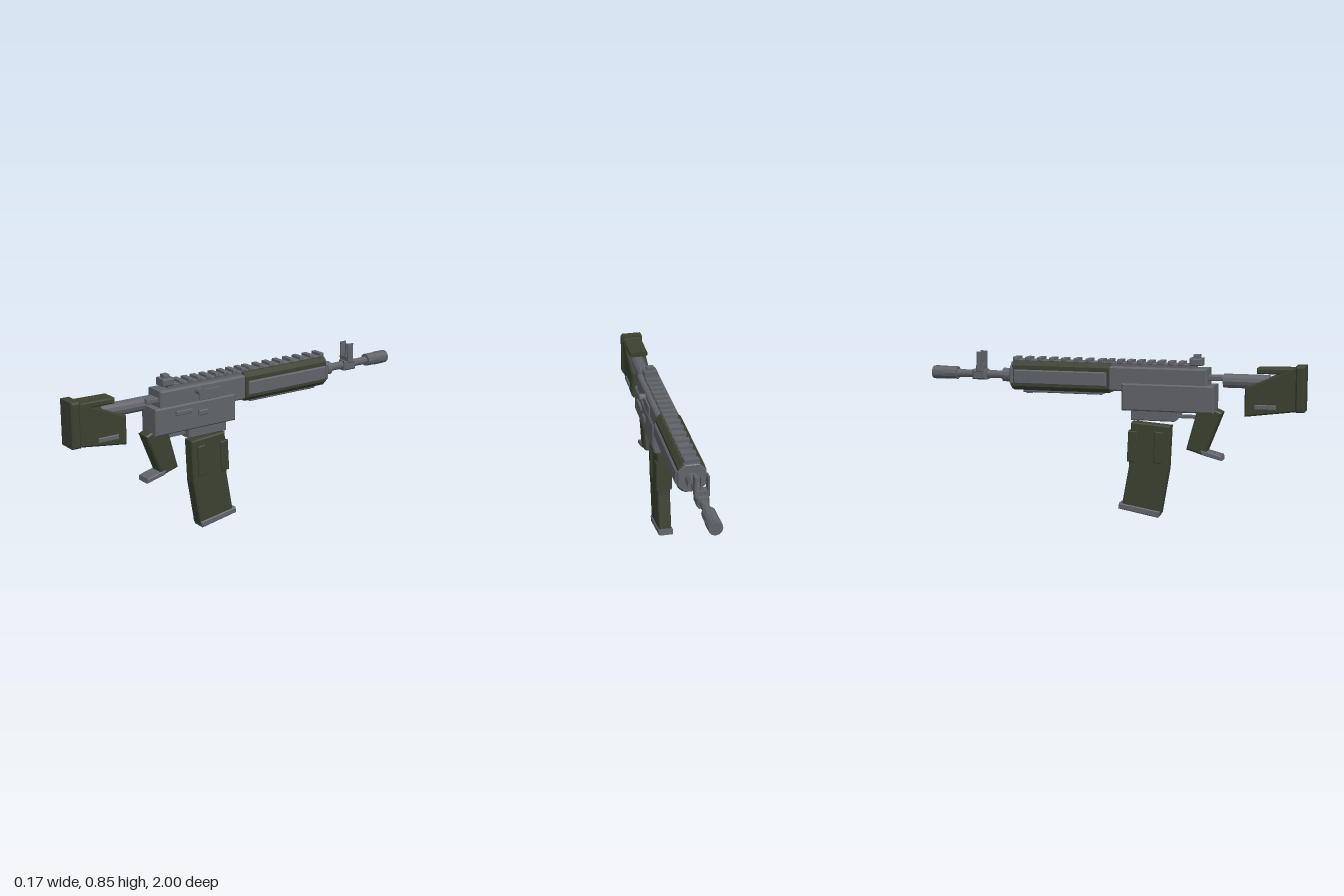
import * as THREE from 'three';

const grey = new THREE.MeshStandardMaterial({ name: 'gunmetal grey', color: 0x606369, flatShading: true });
const green = new THREE.MeshStandardMaterial({ name: 'olive green', color: 0x3c4131, flatShading: true });

export function createModel() {
  const model = new THREE.Group();
  model.name = 'rifle';
  const body = new THREE.Group();
  body.name = 'body';
  body.position.x = -0.008;
  model.add(body);

  const add = (name, geo, mat) => {
    const m = new THREE.Mesh(geo, mat);
    m.name = name;
    body.add(m);
    return m;
  };
  // Extrusion with chamfered edges, centred on its depth
  const extrude = (pts, depth, bevel) => {
    const shape = new THREE.Shape(pts.map(p => new THREE.Vector2(p[0], p[1])));
    const geo = new THREE.ExtrudeGeometry(shape, {
      depth: depth - 2 * bevel, bevelEnabled: bevel > 0, bevelThickness: bevel,
      bevelSize: bevel, bevelOffset: -bevel, bevelSegments: 1, steps: 1,
    });
    return geo.translate(0, 0, -depth / 2 + bevel);
  };
  // Side profile given as [z, y], spread across x
  const profile = (name, pts, width, mat, bevel = 0.006, x = 0) => {
    const flipped = pts.map(([z, y]) => [-z, y]).reverse();
    return add(name, extrude(flipped, width, bevel).rotateY(Math.PI / 2).translate(x, 0, 0), mat);
  };
  // Box given by its z and y limits
  const block = (name, z0, z1, y0, y1, width, mat, bevel = 0, x = 0) =>
    profile(name, [[z0, y0], [z1, y0], [z1, y1], [z0, y1]], width, mat, bevel, x);
  // Cylinder along z
  const rod = (name, z0, z1, y, r, mat = grey, sides = 12) =>
    add(name, new THREE.CylinderGeometry(r, r, Math.abs(z1 - z0), sides)
      .rotateX(Math.PI / 2).translate(0, y, (z0 + z1) / 2), mat);
  // Octagonal bar along z
  const octagon = (name, z0, z1, y0, y1, w, c, mat) => {
    const h = w / 2;
    const pts = [[-h + c, y0], [h - c, y0], [h, y0 + c], [h, y1 - c], [h - c, y1], [-h + c, y1], [-h, y1 - c], [-h, y0 + c]];
    add(name, extrude(pts, Math.abs(z1 - z0), 0.004).translate(0, 0, (z0 + z1) / 2), mat);
  };

  // Stock
  block('buttPad', 0.953, 1, 0.585, 0.815, 0.12, green, 0.009);
  profile('stock', [[0.96, 0.587], [0.96, 0.81], [0.7, 0.7], [0.7, 0.553]], 0.106, green, 0.008);
  profile('cheekRest', [[0.955, 0.77], [0.955, 0.803], [0.76, 0.8], [0.76, 0.772]], 0.1, green, 0.006);
  for (const s of [-1, 1]) block('stockSlot', 0.75, 0.86, 0.593, 0.617, 0.02, grey, 0.003, s * 0.052);
  rod('bufferTube', 0.585, 0.82, 0.727, 0.036);
  rod('bufferTubeStub', 0.5, 0.59, 0.739, 0.015);
  block('receiverEndPlate', 0.5, 0.575, 0.728, 0.752, 0.076, grey, 0.003);

  // Receiver
  block('upperReceiver', -0.01, 0.51, 0.66, 0.787, 0.118, grey, 0.008);
  block('lowerReceiver', 0.065, 0.545, 0.563, 0.703, 0.134, grey, 0.007);
  block('magazineWell', 0.11, 0.34, 0.512, 0.57, 0.1, grey, 0.005);
  block('triggerGuard', 0.335, 0.455, 0.528, 0.543, 0.036, grey);
  profile('trigger', [[0.385, 0.57], [0.36, 0.57], [0.35, 0.545], [0.365, 0.543]], 0.018, grey, 0);

  // Controls on the left face
  block('ejectionPort', 0.16, 0.285, 0.705, 0.76, 0.012, grey, 0.002, 0.061);
  block('selectorLever', 0.335, 0.43, 0.655, 0.677, 0.02, grey, 0.003, 0.069);
  block('releaseButton', 0.24, 0.295, 0.63, 0.658, 0.018, grey, 0.004, 0.068);
  add('forwardAssist', new THREE.CylinderGeometry(0.019, 0.019, 0.05, 10)
    .rotateZ(Math.PI / 2).translate(0.068, 0.758, 0.288), grey);

  // Grip and its cap
  profile('grip', [[0.585, 0.565], [0.55, 0.58], [0.455, 0.572], [0.4, 0.37], [0.497, 0.342]], 0.082, green, 0.008);
  profile('gripCap', [[0.583, 0.345], [0.587, 0.32], [0.48, 0.347], [0.474, 0.372]], 0.088, grey, 0.004);

  // Magazine
  profile('magazine', [[0.315, 0.485], [0.108, 0.5], [0.095, 0.26], [0.058, 0.055], [0.265, 0.022], [0.305, 0.26]], 0.068, green, 0.006);
  for (const z of [0.115, 0.255])
    profile('magazineRib', [[z + 0.028, 0.452], [z - 0.02, 0.456], [z - 0.028, 0.294], [z + 0.02, 0.288]], 0.085, green, 0.004);
  profile('magazineBase', [[0.266, 0.036], [0.254, 0.003], [0.04, 0.04], [0.044, 0.07]], 0.08, grey, 0.005);

  // Handguard with side and bottom panels
  octagon('handguard', 0, -0.53, 0.648, 0.8, 0.132, 0.022, green);
  octagon('handguardCap', -0.525, -0.543, 0.65, 0.797, 0.142, 0.036, grey);
  block('handguardPanel', -0.52, -0.015, 0.682, 0.757, 0.153, grey, 0.006);
  block('handguardBottomPanel', -0.48, -0.05, 0.635, 0.66, 0.07, grey, 0.004);
  block('slingMount', -0.47, -0.44, 0.627, 0.64, 0.03, grey, 0.002);

  // Top rail: a base with rows of teeth
  block('railBase', -0.525, 0.445, 0.78, 0.807, 0.062, grey, 0.003);
  const tooth = z => block('railTooth', z - 0.014, z + 0.014, 0.8, 0.82, 0.076, grey, 0.003);
  for (let i = 0; i < 8; i++) tooth(0.37 - i * 0.054);
  for (let i = 0; i < 8; i++) tooth(-0.055 - i * 0.0665);

  // Rear sight
  block('rearSightBase', 0.412, 0.478, 0.8, 0.838, 0.074, grey, 0.006);
  block('rearSightTop', 0.43, 0.463, 0.83, 0.856, 0.042, grey, 0.004);

  // Barrel and muzzle
  rod('barrelNut', -0.54, -0.6, 0.72, 0.036);
  rod('barrel', -0.59, -0.87, 0.72, 0.021);
  rod('muzzleBrake', -0.86, -1, 0.722, 0.034);
  for (let i = 0; i < 4; i++) {
    const slot = add('muzzleSlot', new THREE.BoxGeometry(0.016, 0.006, 0.065), grey);
    const a = i * Math.PI / 2;
    slot.position.set(Math.sin(a) * 0.032, 0.722 + Math.cos(a) * 0.032, -0.957);
    slot.rotation.z = -a;
  }

  // Front sight: clamp block, two ears and a thin post
  block('frontSightBlock', -0.77, -0.69, 0.692, 0.745, 0.06, grey, 0.008);
  block('frontSightBase', -0.745, -0.705, 0.735, 0.768, 0.072, grey, 0.004);
  for (const s of [-1, 1]) block('frontSightEar', -0.742, -0.706, 0.755, 0.842, 0.01, grey, 0.002, s * 0.031);
  rod('frontSightPostFoot', -0.735, -0.713, 0.765, 0.012);
  block('frontSightPost', -0.73, -0.718, 0.755, 0.835, 0.01, grey);

  return model;
}
